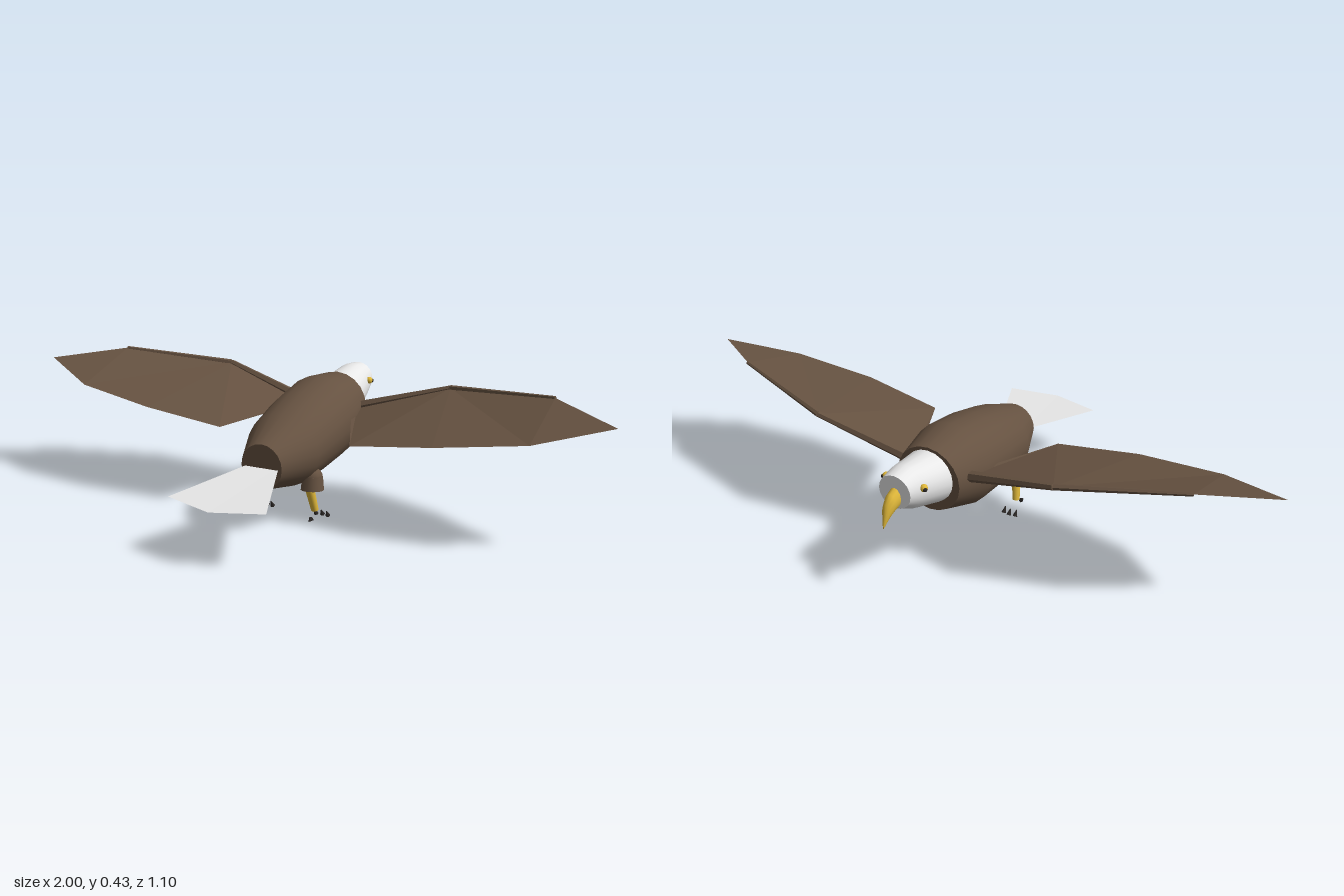
import * as THREE from 'three';

const mat = (name, color, extra = {}) => {
  const m = new THREE.MeshStandardMaterial({ color, ...extra });
  m.name = name;
  return m;
};

// Closed smooth loft through ellipses [z, centreY, radiusX, radiusY], z decreasing
function loft(rings, sides) {
  const pos = [], idx = [];
  const addRing = ([z, cy, rx, ry]) => {
    const start = pos.length / 3;
    for (let j = 0; j < sides; j++) {
      const t = (j / sides) * Math.PI * 2;
      pos.push(Math.cos(t) * rx, cy + Math.sin(t) * ry, z);
    }
    return start;
  };
  const starts = rings.map(addRing);
  for (let i = 0; i < rings.length - 1; i++) {
    for (let j = 0; j < sides; j++) {
      const k = (j + 1) % sides;
      const a = starts[i] + j, b = starts[i] + k, c = starts[i + 1] + j, d = starts[i + 1] + k;
      idx.push(a, c, b, b, c, d);
    }
  }
  // flat end caps with their own corners
  [rings[0], rings[rings.length - 1]].forEach((r, end) => {
    const s = addRing(r), centre = pos.length / 3;
    pos.push(0, r[1], r[0]);
    for (let j = 0; j < sides; j++) {
      const k = (j + 1) % sides;
      idx.push(centre, s + (end ? k : j), s + (end ? j : k));
    }
  });
  const g = new THREE.BufferGeometry();
  g.setAttribute('position', new THREE.Float32BufferAttribute(pos, 3));
  g.setIndex(idx);
  g.computeVertexNormals();
  return g;
}

// Flat facets from named points and corner triples
function facets(points, tris) {
  const g = new THREE.BufferGeometry();
  g.setAttribute('position', new THREE.Float32BufferAttribute(tris.flat().flatMap(i => points[i]), 3));
  g.computeVertexNormals();
  return g;
}

function mesh(name, geometry, material, parent) {
  const m = new THREE.Mesh(geometry, material);
  m.name = name;
  parent.add(m);
  return m;
}

// Tapered rod from point a to point b
function rod(name, a, b, ra, rb, sides, material, parent) {
  const p = new THREE.Vector3(...a), q = new THREE.Vector3(...b);
  const d = q.clone().sub(p);
  const m = mesh(name, new THREE.CylinderGeometry(rb, ra, d.length(), sides), material, parent);
  m.position.copy(p).add(q).multiplyScalar(0.5);
  m.quaternion.setFromUnitVectors(new THREE.Vector3(0, 1, 0), d.normalize());
  return m;
}

export function createModel() {
  const brown = mat('brown plumage', 0x665241);
  const wingBrown = mat('wing brown', 0x665241, { side: THREE.DoubleSide, flatShading: true });
  const white = mat('white plumage', 0xf0f0f0);
  const tailWhite = mat('tail white', 0xf0f0f0, { side: THREE.DoubleSide });
  const yellow = mat('beak yellow', 0xe0b83a);
  const dark = mat('claw dark', 0x2c2826);

  const bird = new THREE.Group();
  bird.name = 'bird';

  mesh('body', loft([
    [0.23, 0.2125, 0.07, 0.0725],
    [0.09, 0.228, 0.127, 0.118],
    [-0.04, 0.25, 0.138, 0.135],
    [-0.175, 0.268, 0.14, 0.143],
    [-0.31, 0.288, 0.108, 0.108],
  ], 20), brown, bird);

  mesh('head', loft([
    [-0.29, 0.295, 0.087, 0.09],
    [-0.33, 0.302, 0.083, 0.085],
    [-0.43, 0.327, 0.066, 0.073],
    [-0.487, 0.34, 0.054, 0.054],
  ], 20), white, bird);

  mesh('beak', loft([
    [-0.475, 0.325, 0.022, 0.035],
    [-0.51, 0.314, 0.02, 0.031],
    [-0.533, 0.296, 0.014, 0.027],
    [-0.55, 0.254, 0.002, 0.004],
  ], 12), yellow, bird);

  // Tail fan
  mesh('tail', facets([
    [-0.045, 0.213, 0.2], [0.045, 0.213, 0.2],
    [0.163, 0.177, 0.5], [0, 0.17, 0.545], [-0.163, 0.177, 0.5],
  ], [[0, 4, 3], [0, 3, 1], [1, 3, 2]]), tailWhite, bird);

  // Paired parts, built on +x and mirrored
  for (const side of [1, -1]) {
    const half = new THREE.Group();
    half.name = side > 0 ? 'leftSide' : 'rightSide';
    half.scale.x = side;
    bird.add(half);

    // Wing: leading edge 0-2, tip 3, trailing edge 4-7
    const wing = [
      [0.1, 0.298, -0.26], [0.41, 0.388, -0.3], [0.78, 0.425, -0.192], [1.0, 0.396, -0.045],
      [0.78, 0.346, 0.07], [0.5, 0.31, 0.105], [0.23, 0.273, 0.09], [0.1, 0.295, -0.21],
    ];
    mesh('wing', facets(wing, [
      [0, 7, 6], [0, 6, 1], [1, 6, 5], [1, 5, 4], [1, 4, 2], [2, 4, 3],
    ]), wingBrown, half);
    rod('innerWingBone', [0.1, 0.3, -0.255], wing[1], 0.018, 0.01, 6, wingBrown, half);
    rod('outerWingBone', wing[1], wing[2], 0.01, 0.006, 6, wingBrown, half);

    // Eye and pupil
    const eye = mesh('eye', new THREE.SphereGeometry(0.012, 12, 8), yellow, half);
    eye.position.set(0.065, 0.346, -0.434);
    const pupil = mesh('pupil', new THREE.SphereGeometry(0.007, 10, 8), dark, half);
    pupil.position.set(0.072, 0.345, -0.439);

    // Feathered thigh with a rounded top
    rod('thigh', [0.097, 0.106, 0.075], [0.095, 0.148, 0.07], 0.037, 0.033, 12, brown, half);
    const hip = mesh('hip', new THREE.SphereGeometry(0.033, 12, 8), brown, half);
    hip.position.set(0.095, 0.146, 0.07);

    rod('shank', [0.089, 0.112, 0.079], [0.099, 0.034, 0.06], 0.015, 0.012, 10, yellow, half);

    // Three front claws and one hind claw
    [0.08, 0.101, 0.122].forEach((x, i) => {
      const dz = i === 1 ? -0.004 : 0;
      rod('frontClaw', [x, 0.003, 0.012 + dz], [x, 0.022, 0.023 + dz], 0.008, 0.001, 6, dark, half);
    });
    rod('hindClaw', [0.101, 0.014, 0.09], [0.101, 0.01, 0.108], 0.008, 0.001, 6, dark, half);
  }
  return bird;
}
